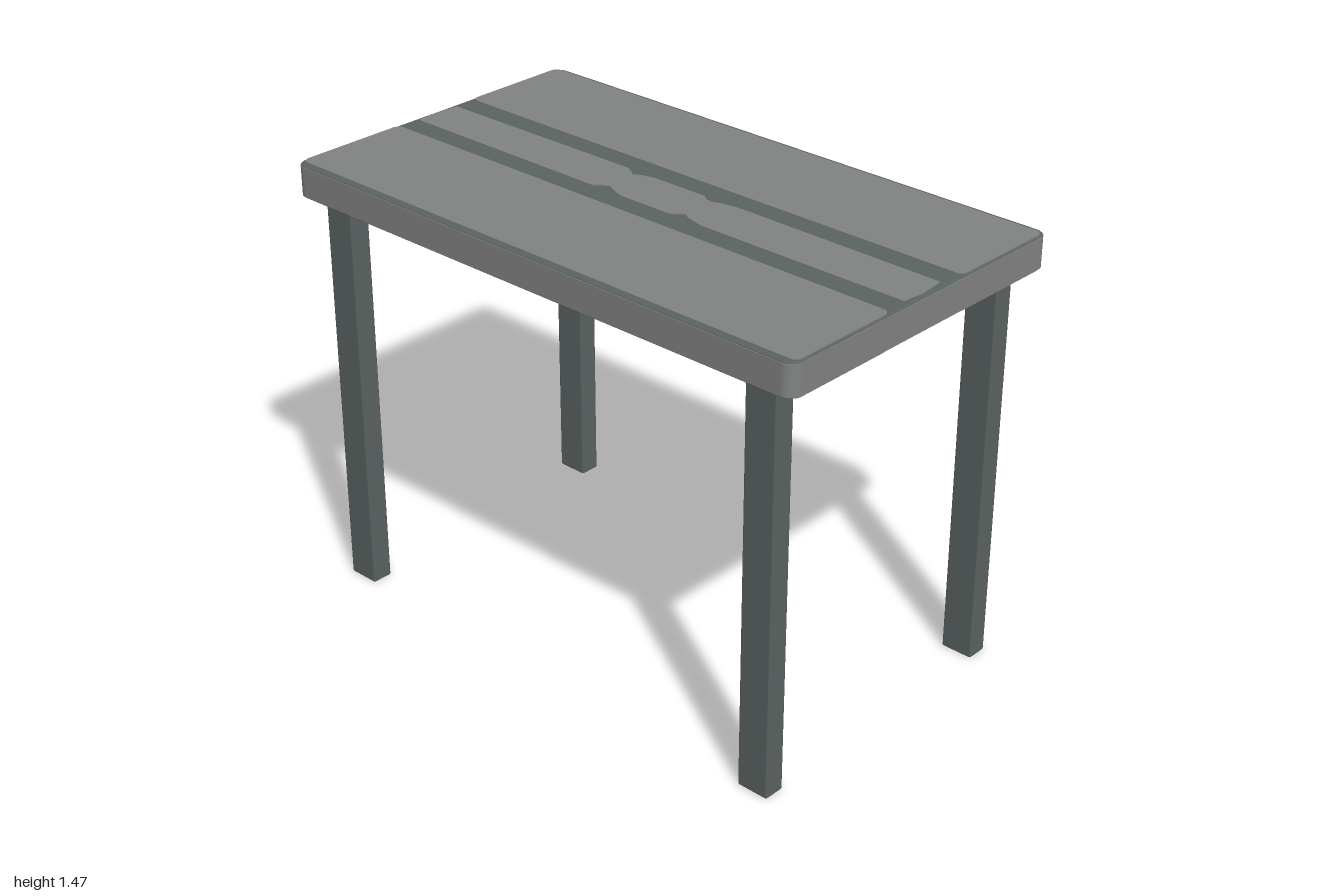
import * as THREE from 'three';
import { RoundedBoxGeometry } from 'three/addons/geometries/RoundedBoxGeometry.js';

const BOTTOM = 1.35, TOP = 1.465, SKIN = 0.003;

// Rounded rectangle outline, drawn in x and z
function roundedRect(x0, x1, z0, z1, r) {
  const s = new THREE.Shape();
  s.absarc(x1 - r, z0 + r, r, -Math.PI / 2, 0);
  s.absarc(x1 - r, z1 - r, r, 0, Math.PI / 2);
  s.absarc(x0 + r, z1 - r, r, Math.PI / 2, Math.PI);
  s.absarc(x0 + r, z0 + r, r, Math.PI, Math.PI * 1.5);
  s.closePath();
  return s;
}

// Horizontal slab whose upper face lies at yTop
function slab(shape, yTop, thickness, bevel = 0) {
  const geo = new THREE.ExtrudeGeometry(shape, {
    depth: thickness - 2 * bevel, curveSegments: 6,
    bevelEnabled: bevel > 0, bevelSize: bevel, bevelThickness: bevel,
    bevelOffset: -bevel, bevelSegments: 2,
  });
  return geo.rotateX(Math.PI / 2).translate(0, yTop - bevel, 0);
}

// Middle board with worn notches along both long edges
function middleBoard() {
  const back = [[-0.98, -0.085], [-0.22, -0.09], [-0.195, -0.08], [-0.17, -0.062], [-0.15, -0.075],
    [-0.1, -0.088], [0.1, -0.088], [0.12, -0.074], [0.145, -0.068], [0.17, -0.08], [0.23, -0.09], [0.975, -0.087]];
  const front = [[0.975, 0.078], [0.23, 0.08], [0.18, 0.068], [0.145, 0.051], [0.115, 0.075],
    [0.095, 0.08], [-0.09, 0.08], [-0.13, 0.065], [-0.16, 0.052], [-0.185, 0.06], [-0.205, 0.08], [-0.98, 0.078]];
  const pts = [...back, [0.985, 0], ...front, [-0.988, 0]];
  return new THREE.Shape(pts.map(([x, z]) => new THREE.Vector2(x, z)));
}

export function createModel() {
  const group = new THREE.Group();
  const light = new THREE.MeshStandardMaterial({ color: 0x828483 });
  light.name = 'lightGrey';
  const dark = new THREE.MeshStandardMaterial({ color: 0x5b6462 });
  dark.name = 'darkGrey';

  const add = (name, geo, mat) => {
    const mesh = new THREE.Mesh(geo, mat);
    mesh.name = name;
    group.add(mesh);
    return mesh;
  };

  // Dark core shows as the rim and as the gaps between the boards
  add('tabletopCore', slab(roundedRect(-0.998, 0.998, -0.571, 0.571, 0.04),
    TOP - SKIN, TOP - BOTTOM - 2 * SKIN, 0.006), dark);

  // Light band around the edge
  add('tabletopEdge', slab(roundedRect(-1, 1, -0.573, 0.573, 0.042),
    TOP - 0.008, TOP - BOTTOM - 0.016), light);

  // Thin boards on the upper side and the underside
  const boards = {
    backBoard: roundedRect(-0.992, 0.992, -0.554, -0.165, 0.025),
    middleBoard: middleBoard(),
    frontBoard: roundedRect(-0.992, 0.992, 0.155, 0.55, 0.025),
  };
  for (const [name, shape] of Object.entries(boards)) {
    add(name, slab(shape, TOP, 2 * SKIN), light);
    add(name + 'Underside', slab(shape, BOTTOM + 2 * SKIN, 2 * SKIN), light);
  }

  // Four straight legs
  const legGeo = new RoundedBoxGeometry(0.11, BOTTOM + 0.005, 0.072, 1, 0.005);
  for (const [side, x] of [['left', 0.858], ['right', -0.858]])
    for (const [end, z] of [['Front', 0.494], ['Back', -0.494]])
      add(side + end + 'Leg', legGeo, dark).position.set(x, (BOTTOM + 0.005) / 2, z);

  return group;
}
